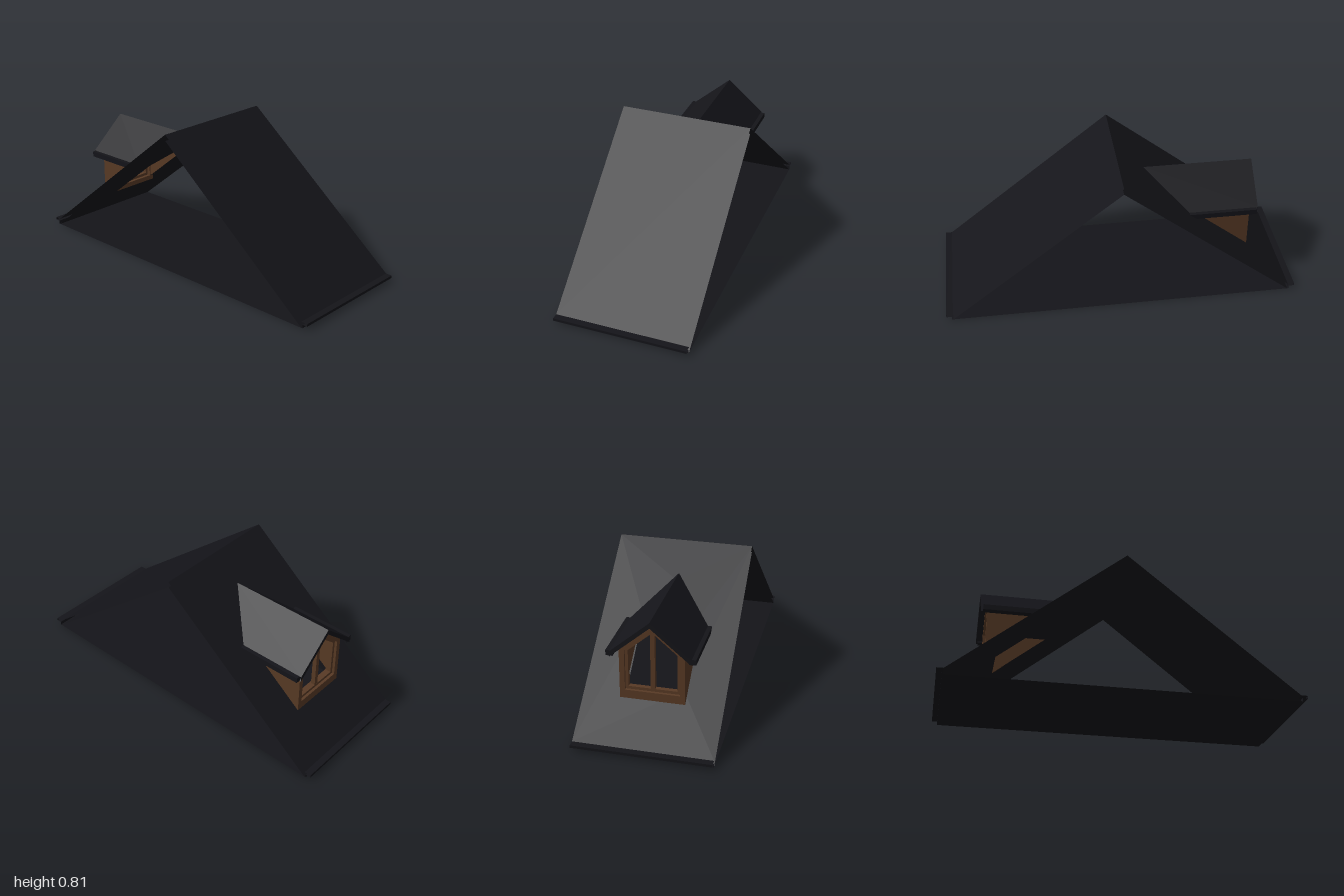
import * as THREE from 'three';

const roofMat = new THREE.MeshStandardMaterial({ color: 0x141419, side: THREE.DoubleSide, flatShading: true });
const woodMat = new THREE.MeshStandardMaterial({ color: 0x583a25, side: THREE.DoubleSide, flatShading: true });

const HALF_Z = 0.375, RIDGE = 0.805, PITCH = 0.8, GAP = 0.035;
const slopeY = x => RIDGE - PITCH * Math.abs(x);
const slopeX = y => -(RIDGE - y) / PITCH; // on the dormer side

// Dormer sizes
const D = { front: -0.785, wall: -0.75, ridge: 0.675, pitch: 0.86, eaveZ: 0.215, wallZ: 0.175, thick: 0.03 };
const dormerY = z => D.ridge - D.pitch * Math.abs(z);

const shapeOf = pts => new THREE.Shape(pts.map(p => new THREE.Vector2(...p)));

function add(group, name, geometry, material) {
  const mesh = new THREE.Mesh(geometry, material);
  mesh.name = name;
  group.add(mesh);
  return mesh;
}

// Thin sheet drawn in plan (x, z) and lifted to a height given by a rule
function sheet(pts, height, hole) {
  const shape = shapeOf(pts);
  if (hole) shape.holes.push(new THREE.Path(hole.map(p => new THREE.Vector2(...p))));
  const g = new THREE.ShapeGeometry(shape), p = g.attributes.position;
  for (let i = 0; i < p.count; i++) {
    const x = p.getX(i), z = p.getY(i);
    p.setXYZ(i, x, height(x, z), z);
  }
  const ix = g.index.array; // turn the faces upward
  for (let i = 0; i < ix.length; i += 3) [ix[i], ix[i + 1]] = [ix[i + 1], ix[i]];
  g.computeVertexNormals();
  return g;
}

// Open strip following an (x, y) path, running along z
function strip(path) {
  const pos = [];
  for (let i = 0; i < path.length - 1; i++) {
    const [ax, ay] = path[i], [bx, by] = path[i + 1];
    pos.push(ax, ay, HALF_Z, bx, by, HALF_Z, bx, by, -HALF_Z);
    pos.push(ax, ay, HALF_Z, bx, by, -HALF_Z, ax, ay, -HALF_Z);
  }
  const g = new THREE.BufferGeometry();
  g.setAttribute('position', new THREE.Float32BufferAttribute(pos, 3));
  g.computeVertexNormals();
  return g;
}

// Outline in (x, y) extruded from z0 by depth
function slabXY(pts, z0, depth) {
  return new THREE.ExtrudeGeometry(shapeOf(pts), { depth, bevelEnabled: false }).translate(0, 0, z0);
}

// Gable outline in (z, y): a house-shaped pentagon
function gable(half, bottom, drop) {
  return [[-half, bottom], [half, bottom], [half, dormerY(half) - drop], [0, D.ridge - drop], [-half, dormerY(half) - drop]];
}

// House-shaped ring standing across x, from x0 over depth
function gableFrame(half, bottom, drop, border, x0, depth) {
  const shape = shapeOf(gable(half, bottom, drop));
  shape.holes.push(new THREE.Path(gable(half - border, bottom + border, drop + border * 1.2)
    .map(p => new THREE.Vector2(...p))));
  const g = new THREE.ExtrudeGeometry(shape, { depth, bevelEnabled: false });
  return g.rotateY(Math.PI / 2).translate(x0, 0, 0);
}

function buildMainRoof() {
  const group = new THREE.Group();
  group.name = 'mainRoof';
  const edge = 0.9625, iz = D.wallZ - 0.02;
  // Opening under the dormer
  const hole = [[-0.69, -iz], [slopeX(dormerY(iz) - D.thick), -iz], [slopeX(D.ridge - D.thick), 0],
    [slopeX(dormerY(iz) - D.thick), iz], [-0.69, iz]];
  for (const s of [-1, 1]) {
    const side = s > 0 ? 'left' : 'right';
    const plan = [[0, -HALF_Z], [s * edge, -HALF_Z], [s * edge, HALF_Z], [0, HALF_Z]];
    const cut = s < 0 ? hole : null;
    add(group, side + 'OuterSlope', sheet(plan, x => slopeY(x), cut), roofMat);
    add(group, side + 'InnerSlope', sheet(plan, x => slopeY(x) - GAP, cut), roofMat);
    // Stepped eave lip
    const lip = [[edge, GAP], [1, GAP], [1, 0.02], [0.97, 0.02], [0.97, 0]];
    add(group, side + 'Eave', strip(lip.map(([x, y]) => [s * x, y])), roofMat);
  }
  add(group, 'floor', strip([[-0.97, 0], [0.97, 0]]), roofMat);
  return group;
}

function buildDormer() {
  const group = new THREE.Group();
  group.name = 'dormer';
  const wallTop = dormerY(D.wallZ) - D.thick;
  for (const s of [-1, 1]) {
    const side = s > 0 ? 'Front' : 'Back';
    // Roof skins, each meeting the main slope in a valley
    for (const [name, drop] of [['dormerRoof', 0], ['dormerSoffit', D.thick]]) {
      const plan = [[D.front, 0], [slopeX(D.ridge - drop), 0],
        [slopeX(dormerY(D.eaveZ) - drop), s * D.eaveZ], [D.front, s * D.eaveZ]];
      add(group, name + side, sheet(plan, (x, z) => dormerY(z) - drop), roofMat);
    }
    // Barge board closing the roof edge
    const barge = shapeOf([[0, D.ridge], [s * D.eaveZ, dormerY(D.eaveZ)],
      [s * D.eaveZ, dormerY(D.eaveZ) - D.thick], [0, D.ridge - D.thick]]);
    add(group, 'bargeBoard' + side, new THREE.ShapeGeometry(barge).rotateY(-Math.PI / 2).translate(D.front, 0, 0), roofMat);
    // Gutter along the eave
    const gutter = slabXY([[-0.775, 0.46], [slopeX(0.46), 0.46], [slopeX(0.49), 0.49], [-0.775, 0.49]],
      s > 0 ? 0.2 : -0.238, 0.038);
    add(group, 'gutter' + side, gutter, roofMat);
    // Cheek wall cut along the main slope
    const cheek = slabXY([[D.wall, slopeY(D.wall)], [slopeX(wallTop), wallTop], [D.wall, wallTop]],
      s > 0 ? D.wallZ - 0.02 : -D.wallZ, 0.02);
    add(group, 'cheekWall' + side, cheek, woodMat);
  }
  // Window surround, inner sash, mullion and sill
  add(group, 'windowFrame', gableFrame(D.wallZ, 0.225, D.thick, 0.028, D.wall, 0.06), woodMat);
  add(group, 'windowSash', gableFrame(D.wallZ - 0.026, 0.251, D.thick + 0.03, 0.018, D.wall + 0.015, 0.025), woodMat);
  add(group, 'mullion', new THREE.BoxGeometry(0.025, 0.36, 0.024).translate(D.wall + 0.028, 0.43, 0), woodMat);
  add(group, 'sill', new THREE.BoxGeometry(0.012, 0.025, D.wallZ * 2).translate(D.wall + 0.006, 0.2165, 0), woodMat);
  return group;
}

export function createModel() {
  const model = new THREE.Group();
  model.name = 'gableRoofWithDormer';
  model.add(buildMainRoof(), buildDormer());
  return model;
}
